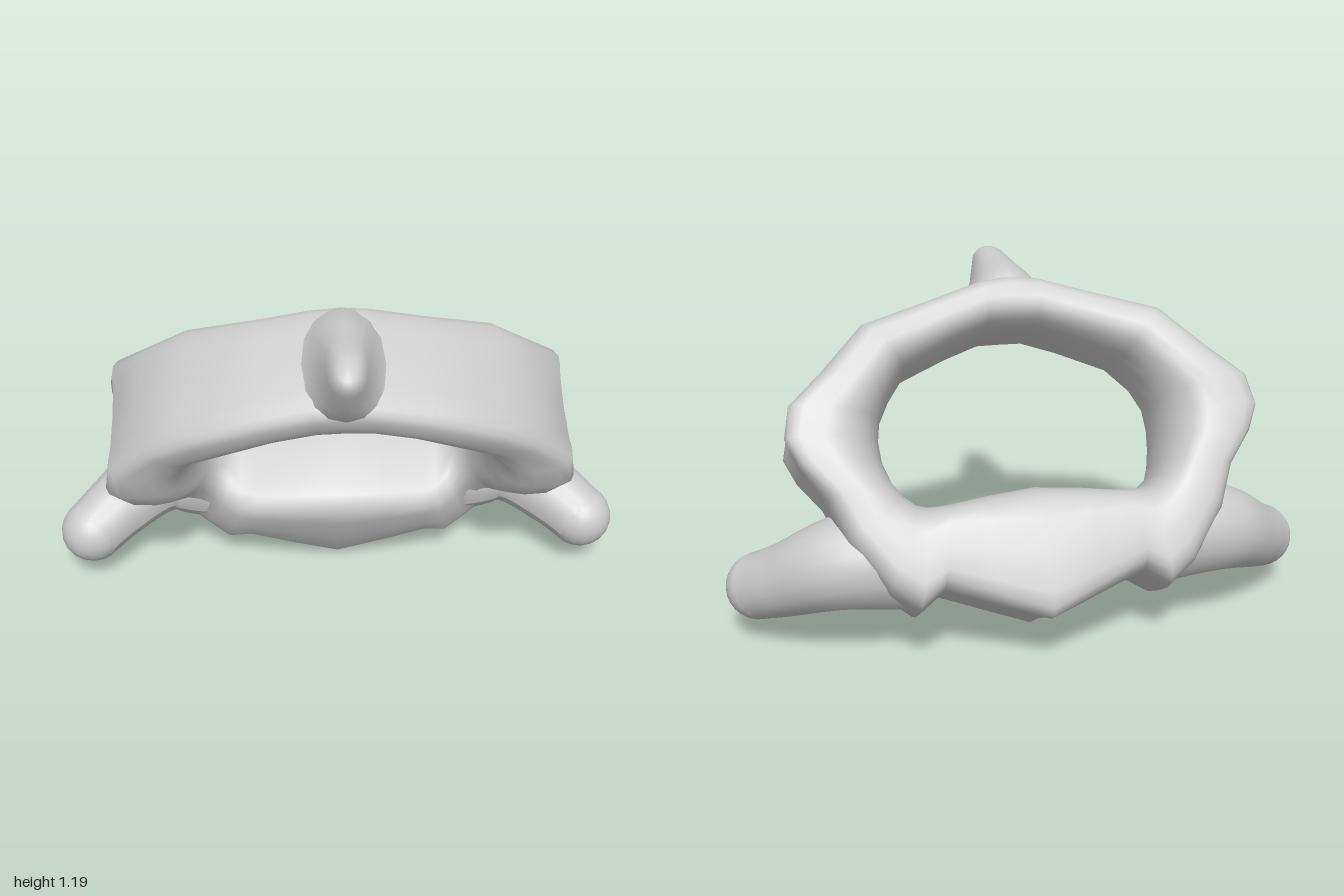
import * as THREE from 'three';
import { mergeGeometries } from 'three/addons/utils/BufferGeometryUtils.js';

const material = new THREE.MeshStandardMaterial({ color: 0xcccccc });

// Skin a list of closed cross-sections; optionally join the last to the first
function loft(sections, closed) {
  const n = sections[0].length, m = sections.length, index = [];
  for (let i = 0; i < (closed ? m : m - 1); i++) {
    for (let j = 0; j < n; j++) {
      const k = (i + 1) % m, l = (j + 1) % n;
      const a = i * n + j, b = i * n + l, c = k * n + l, d = k * n + j;
      index.push(a, b, d, b, c, d);
    }
  }
  const g = new THREE.BufferGeometry();
  g.setAttribute('position', new THREE.Float32BufferAttribute(sections.flat(2), 3));
  g.setIndex(index);
  g.computeVertexNormals();
  return g;
}

const power = (v, p) => Math.sign(v) * Math.abs(v) ** p;

// Section between an inner and an outer point of the ring, with a softer inside
function ringSection([ix, iy, ox, oy, back, front, notch, soft]) {
  const pts = [], count = 24;
  for (let j = 0; j < count; j++) {
    const t = (j / count) * Math.PI * 2, c = Math.cos(t);
    const p = c < 0 ? soft : 0.55;
    let r = 0.5 + 0.5 * power(c, p);
    if (c > 0) r -= notch * c ** 4;
    const z = (back + front) / 2 + ((front - back) / 2) * power(Math.sin(t), p);
    pts.push([ix + (ox - ix) * r, iy + (oy - iy) * r, z]);
  }
  return pts;
}

function addMesh(group, name, geometry) {
  const mesh = new THREE.Mesh(geometry, material);
  mesh.name = name;
  group.add(mesh);
}

// Tube whose radius shrinks from root to tip, closed by a ball
function taperedArm(points, rootRadius, tipRadius) {
  const curve = new THREE.CatmullRomCurve3(points), steps = 18;
  const tube = new THREE.TubeGeometry(curve, steps, 1, 18);
  const pos = tube.attributes.position, v = new THREE.Vector3();
  for (let i = 0; i < pos.count; i++) {
    const u = Math.floor(i / 19) / steps, centre = curve.getPointAt(u);
    const radius = tipRadius + (rootRadius - tipRadius) * (1 - u) ** 1.4;
    v.fromBufferAttribute(pos, i).sub(centre).multiplyScalar(radius).add(centre);
    pos.setXYZ(i, v.x, v.y, v.z);
  }
  tube.computeVertexNormals();
  const tip = new THREE.SphereGeometry(tipRadius, 20, 14).translate(...points.at(-1).toArray());
  return mergeGeometries([tube, tip]);
}

export function createModel() {
  const model = new THREE.Group();
  model.name = 'vertebra';

  // Everything is shaped in the plane of the ring, then tilted
  const bone = new THREE.Group();
  bone.name = 'tiltedBone';
  bone.rotation.x = Math.PI / 6;
  bone.position.y = 0.62;
  model.add(bone);

  // Half ring from arch to body: inner x, y, outer x, y, back, front, notch, softness
  const half = [
    [0, 0.345, 0, 0.53, -0.21, 0.2, 0, 0.75],
    [0.08, 0.345, 0.1, 0.515, -0.21, 0.2, 0, 0.75],
    [0.2, 0.3, 0.27, 0.46, -0.215, 0.2, 0, 0.8],
    [0.37, 0.225, 0.51, 0.385, -0.23, 0.215, 0, 0.85],
    [0.43, 0.14, 0.66, 0.23, -0.26, 0.185, 0.03, 0.9],
    [0.465, 0.07, 0.8, 0.12, -0.27, 0.2, 0.14, 0.9],
    [0.475, 0, 0.83, 0.01, -0.27, 0.215, 0.2, 0.9],
    [0.47, -0.07, 0.78, -0.08, -0.275, 0.205, 0.14, 0.9],
    [0.45, -0.14, 0.68, -0.19, -0.28, 0.15, 0.03, 0.85],
    [0.42, -0.19, 0.62, -0.33, -0.28, 0.08, 0, 0.75],
    [0.385, -0.22, 0.5, -0.5, -0.28, 0.12, 0, 0.65],
    [0.35, -0.23, 0.41, -0.57, -0.28, 0.16, 0, 0.55],
    [0.29, -0.23, 0.33, -0.515, -0.28, 0.175, 0.02, 0.5],
    [0.15, -0.21, 0.17, -0.595, -0.285, 0.19, 0.08, 0.5],
    [0, -0.195, 0, -0.68, -0.29, 0.2, 0.13, 0.5],
  ];
  const otherHalf = half.slice(1, -1).reverse().map(([ix, iy, ox, ...rest]) => [-ix, iy, -ox, ...rest]);
  addMesh(bone, 'ringAndBody', loft([...half, ...otherHalf].map(ringSection), true));

  // Pointed ridge flaring into the arch: height, half width, back, front
  const levels = [
    [0.43, 0.2, -0.19, 0.18],
    [0.49, 0.14, -0.19, 0.2],
    [0.54, 0.105, -0.17, 0.21],
    [0.6, 0.08, -0.08, 0.215],
    [0.66, 0.062, 0.01, 0.215],
    [0.7, 0.05, 0.07, 0.215],
    [0.72, 0.03, 0.11, 0.195],
    [0.723, 0.001, 0.15, 0.16],
  ];
  const spine = levels.map(([y, w, back, front]) => {
    const pts = [];
    for (let j = 0; j < 16; j++) {
      const t = (j / 16) * Math.PI * 2;
      pts.push([w * Math.cos(t), y, (back + front) / 2 - ((front - back) / 2) * power(Math.sin(t), 0.8)]);
    }
    return pts;
  });
  addMesh(bone, 'spinousProcess', loft(spine, false));

  // Blunt side arms, broad where they leave the body
  for (const side of [1, -1]) {
    const points = [[0.46, -0.36, -0.07], [0.64, -0.375, -0.06], [0.8, -0.4, 0.06], [0.888, -0.405, 0.15]]
      .map(([x, y, z]) => new THREE.Vector3(side * x, y, z));
    addMesh(bone, side > 0 ? 'leftTransverseProcess' : 'rightTransverseProcess', taperedArm(points, 0.185, 0.113));
  }
  return model;
}
